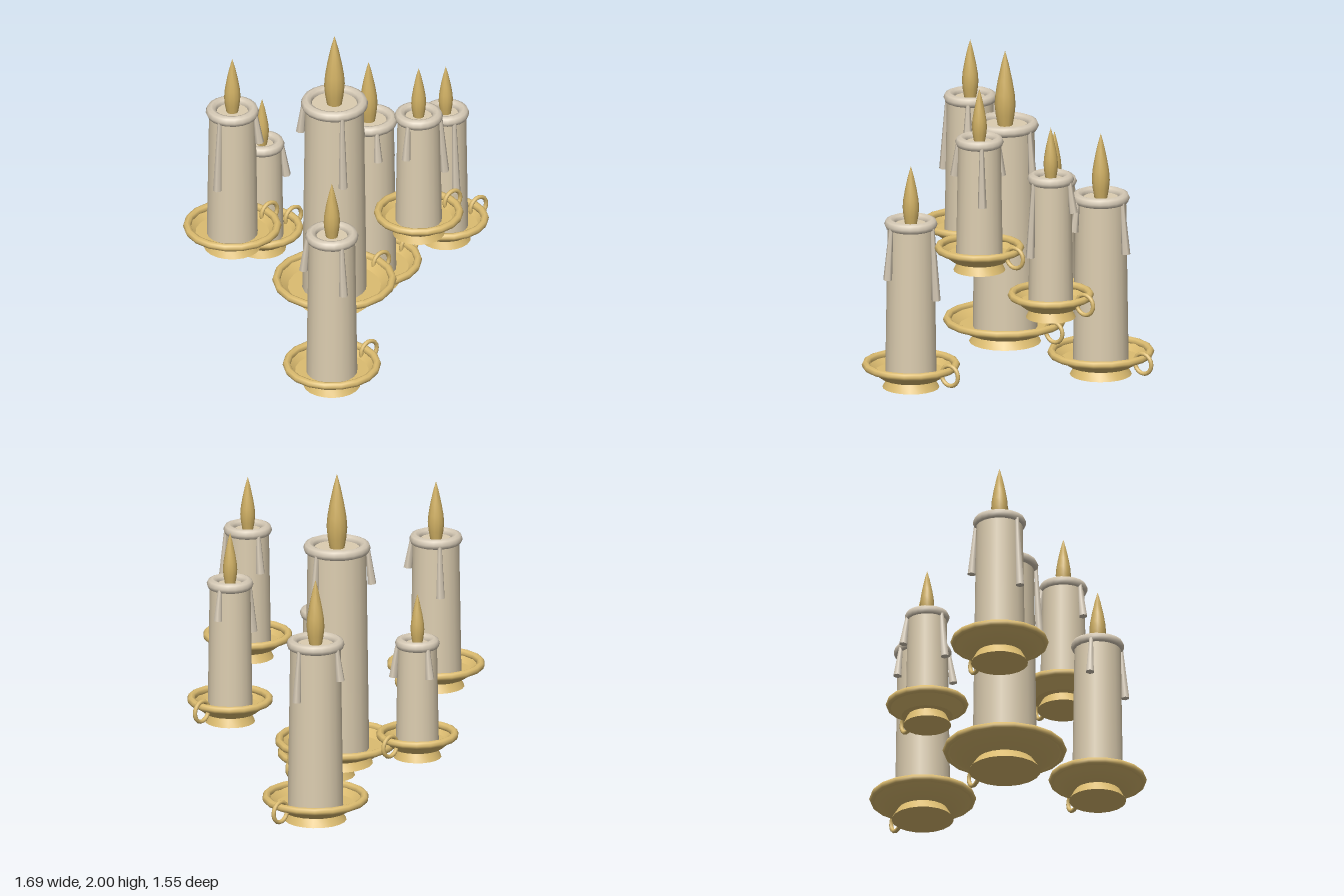
import * as THREE from 'three';
import { toCreasedNormals } from 'three/addons/utils/BufferGeometryUtils.js';

const material = (name, color) => {
  const m = new THREE.MeshStandardMaterial({ color });
  m.name = name;
  return m;
};

// x, z, dish radius, foot height, wax top, flame tip, drips as [angle in degrees, lower end]
const CANDLES = [
  { x: -0.055, z: 0.01, R: 0.36, base: 0.25, top: 1.585, tip: 2.0, drips: [[0, 1.25], [117, 1.1], [235, 1.34]] },
  { x: -0.56, z: -0.31, R: 0.285, base: 0.66, top: 1.585, tip: 1.9, drips: [[57, 1.37], [163, 1.105], [-50, 1.24]] },
  { x: -0.125, z: -0.545, R: 0.24, base: 0.385, top: 1.105, tip: 1.37, drips: [[44, 0.87], [163, 0.78], [-72, 0.89]] },
  { x: 0.44, z: -0.255, R: 0.31, base: 0.08, top: 1.175, tip: 1.53, drips: [[-3, 0.83], [113, 0.96], [-95, 0.95]] },
  { x: 0.525, z: 0.325, R: 0.25, base: 0.575, top: 1.44, tip: 1.715, drips: [[-12, 1.22], [107, 0.955], [205, 1.1]] },
  { x: 0.15, z: 0.515, R: 0.26, base: 0.835, top: 1.64, tip: 1.925, drips: [[46, 1.25], [160, 1.39], [-70, 1.38]] },
  { x: -0.43, z: 0.415, R: 0.285, base: 0, top: 1.015, tip: 1.33, drips: [[-11, 0.54], [107, 0.67], [225, 0.75]] },
];

const lathe = (points, sides) =>
  toCreasedNormals(new THREE.LatheGeometry(points.map(([x, y]) => new THREE.Vector2(x, y)), sides), 0.6);

export function createModel() {
  const brass = material('brass', 0xdcbc70);
  const wax = material('wax', 0xdccdb0);
  const meltedWax = material('melted wax', 0xd6cab6);
  const flameGold = material('flame gold', 0xd0b064);

  const model = new THREE.Group();
  model.name = 'candleCluster';

  const add = (parent, name, geometry, mat, x = 0, y = 0, z = 0) => {
    const mesh = new THREE.Mesh(geometry, mat);
    mesh.name = name;
    mesh.position.set(x, y, z);
    parent.add(mesh);
    return mesh;
  };

  const UP = new THREE.Vector3(0, 1, 0);

  CANDLES.forEach(({ x, z, R, base, top, tip, drips }) => {
    const candle = new THREE.Group();
    candle.name = 'candle';
    candle.position.set(x, base, z);
    model.add(candle);

    const r = R * 0.52;
    const tube = 0.032;
    const waxY = top - base - tube; // centre height of the melted rim
    const ringR = R * 0.543 - tube;

    // Holder: flared foot and shallow dish, rolled rim, finger ring
    add(candle, 'holderDish', lathe([
      [0, 0], [R * 0.58, 0], [R * 0.47, 0.058], [R * 0.62, 0.06], [R * 0.94, 0.125],
      [R * 0.92, 0.14], [R * 0.75, 0.09], [0, 0.09],
    ], 20), brass);
    const rim = new THREE.TorusGeometry(R - 0.023, 0.023, 8, 18);
    rim.rotateX(Math.PI / 2);
    add(candle, 'holderRim', rim, brass, 0, 0.133, 0);
    add(candle, 'fingerRing', new THREE.TorusGeometry(0.06, 0.0125, 8, 18), brass, R, 0.116, 0);

    // Tapered wax shaft with a swollen lip
    const shaftH = waxY - 0.08;
    add(candle, 'waxShaft', new THREE.CylinderGeometry(r * 0.91, r, shaftH, 20), wax, 0, 0.08 + shaftH / 2, 0);
    const lip = new THREE.TorusGeometry(ringR, tube, 8, 20);
    lip.rotateX(Math.PI / 2);
    add(candle, 'waxLip', lip, meltedWax, 0, waxY, 0);

    // Drips widen and lean outward toward the bottom
    drips.forEach(([deg, end]) => {
      const a = THREE.MathUtils.degToRad(deg);
      const at = (rad, y) => new THREE.Vector3(Math.cos(a) * rad, y, Math.sin(a) * rad);
      const upper = at(ringR + 0.016, waxY);
      const lower = at(r + 0.016, end - base);
      const dir = upper.clone().sub(lower);
      const drip = add(candle, 'waxDrip', new THREE.CylinderGeometry(0.012, 0.026, dir.length(), 6), meltedWax);
      drip.position.copy(upper).add(lower).multiplyScalar(0.5);
      drip.quaternion.setFromUnitVectors(UP, dir.normalize());
    });

    // Teardrop flame
    const h = tip - base - waxY;
    const w = R * 0.17;
    add(candle, 'flame', lathe([
      [0, 0], [w * 0.72, 0], [w * 0.9, h * 0.14], [w, h * 0.28], [w * 0.92, h * 0.42],
      [w * 0.7, h * 0.6], [w * 0.36, h * 0.82], [0, h],
    ], 12), flameGold, 0, waxY, 0);
  });

  return model;
}
